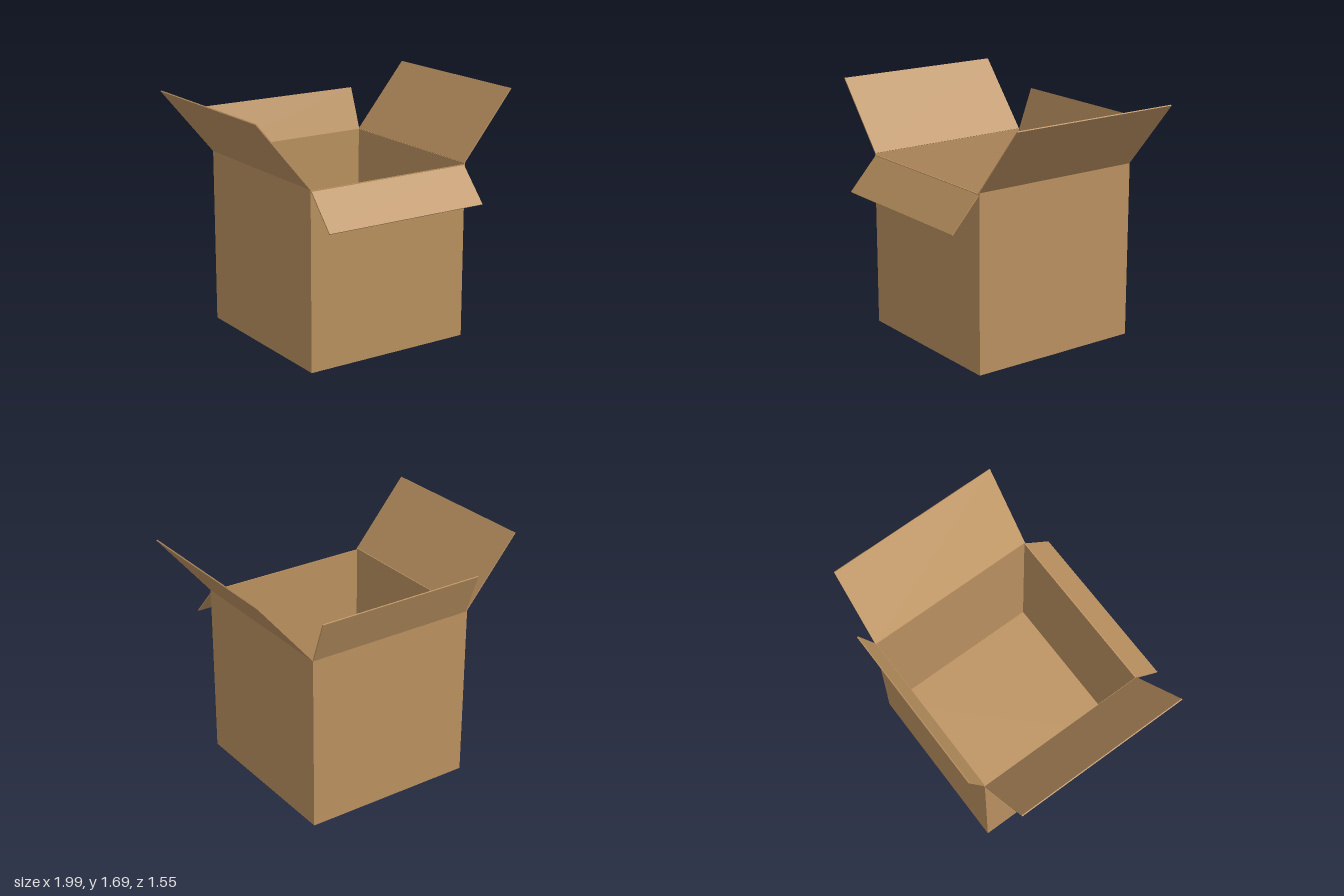
import * as THREE from 'three';

const T = 0.008; // board thickness
const BACK = -0.665, FRONT = 0.57, MID_Z = (BACK + FRONT) / 2, DEPTH = FRONT - BACK;
const HALF = 0.61, BASE = 0.01, TOP = 1.23;

export function createModel() {
  const group = new THREE.Group();
  const cardboard = new THREE.MeshStandardMaterial({ color: 0xbd9361 });
  cardboard.name = 'cardboard';

  function board(name, size, position) {
    const mesh = new THREE.Mesh(new THREE.BoxGeometry(...size), cardboard);
    mesh.name = name;
    mesh.position.set(...position);
    group.add(mesh);
    return mesh;
  }

  // Four upright walls
  const h = TOP - BASE, midY = (TOP + BASE) / 2;
  for (const [name, s] of [['leftWall', 1], ['rightWall', -1]]) {
    board(name, [T, h, DEPTH], [s * (HALF - T / 2), midY, MID_Z]);
  }
  board('frontWall', [2 * (HALF - T), h - 0.01, T], [0, midY - 0.005, FRONT - T / 2]);
  board('backWall', [2 * (HALF - T), h, T], [0, midY, BACK + T / 2]);

  // Two floor panels that meet in a seam and sag slightly towards it
  for (const [name, s] of [['frontFloor', 1], ['backFloor', -1]]) {
    const panel = board(name, [2 * (HALF - T), T, DEPTH / 2 - 0.002],
      [0, BASE + 0.001, MID_Z + s * (DEPTH / 4 + 0.001)]);
    panel.rotation.x = -s * 0.008;
  }
  // Inner floor panel closing the seam
  board('innerFloor', [2 * (HALF - T), T / 2, DEPTH - 2 * T], [0, BASE + T + 0.003, MID_Z]);

  // Side flaps, opened up and outwards
  const rise = 0.46, reach = 0.385;
  for (const [name, s] of [['leftFlap', 1], ['rightFlap', -1]]) {
    const flap = board(name, [T, Math.hypot(rise, reach), DEPTH - 0.005],
      [s * (0.608 + reach / 2), TOP + rise / 2, MID_Z]);
    flap.rotation.z = -s * Math.atan2(reach, rise);
  }

  // Front flap hangs forward, back flap stands nearly upright
  for (const [name, x, y0, z0, y1, z1] of [
    ['frontFlap', 0, 1.213, FRONT - 0.002, 0.99, 0.77],
    ['backFlap', 0.005, TOP - 0.002, BACK + 0.003, 1.52, -0.77],
  ]) {
    const dy = y1 - y0, dz = z1 - z0;
    const flap = board(name, [1.205, Math.hypot(dy, dz), T], [x, (y0 + y1) / 2, (z0 + z1) / 2]);
    flap.rotation.x = Math.atan2(dz, dy);
  }

  return group;
}
